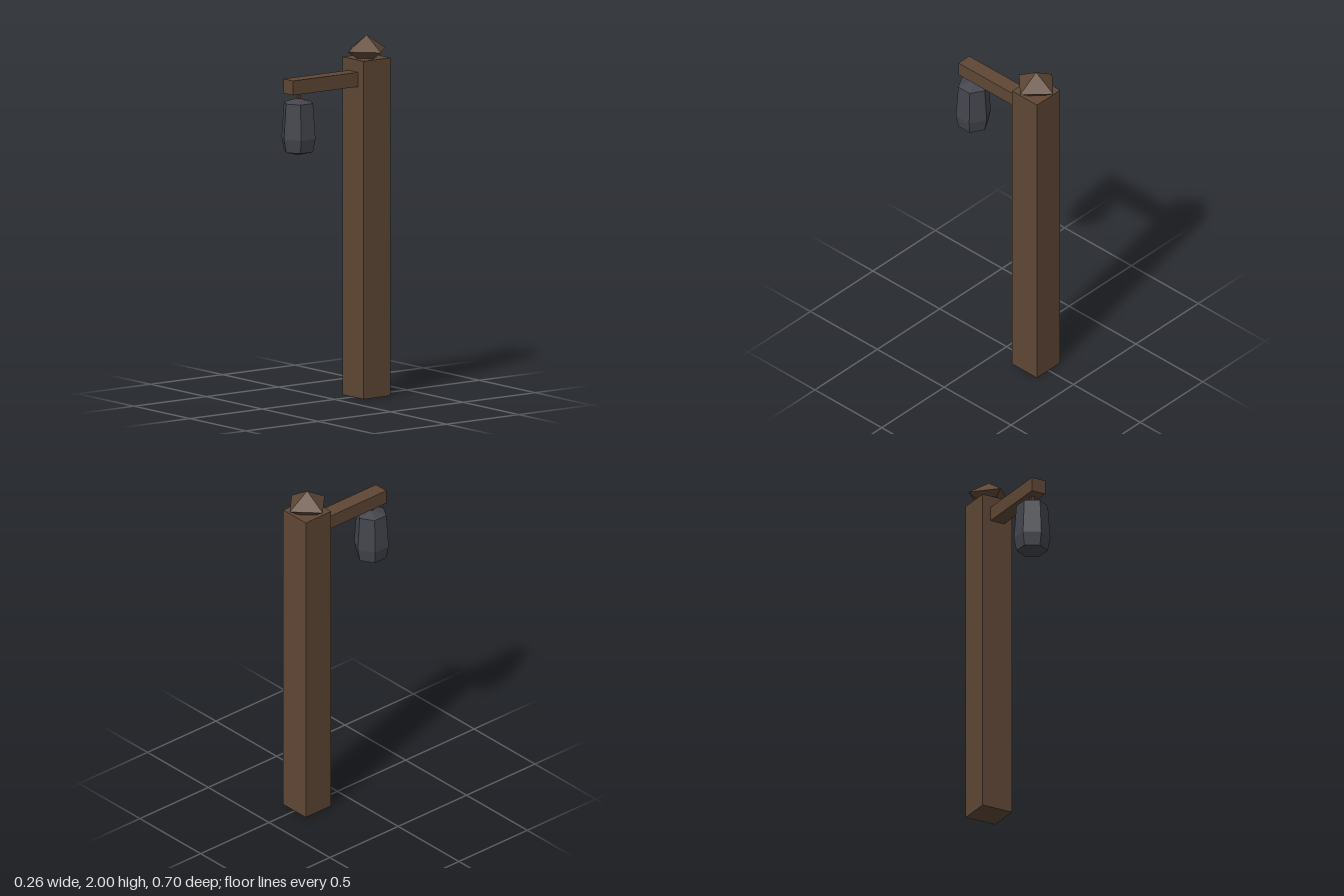
import * as THREE from 'three';

export function createModel() {
  const model = new THREE.Group();
  model.name = 'lanternPost';

  const material = (name, color) => {
    const m = new THREE.MeshStandardMaterial({ color, flatShading: true });
    m.name = name;
    return m;
  };
  const wood = material('brown wood', 0x5f4735);
  const iron = material('dark iron', 0x44454d);
  const rust = material('rusty hook', 0x5f3b30);

  const add = (name, geometry, mat, x, y, z) => {
    const mesh = new THREE.Mesh(geometry, mat);
    mesh.name = name;
    mesh.position.set(x, y, z);
    model.add(mesh);
    return mesh;
  };
  // Faceted solid turned from [radius, height] points, bottom to top
  const facet = (points, sides) =>
    new THREE.LatheGeometry(points.map(([r, y]) => new THREE.Vector2(r, y)), sides).toNonIndexed();

  const postZ = -0.221;
  const lampZ = 0.249;

  // Square post and its pointed diamond cap
  add('post', new THREE.BoxGeometry(0.186, 1.875, 0.186), wood, 0, 0.9375, postZ);
  add('cap', facet([[0, 1.865], [0.05, 1.865], [0.128, 1.917], [0, 2]], 4), wood, 0, 0, postZ);

  // Arm reaching forward from the post
  add('arm', new THREE.BoxGeometry(0.086, 0.08, 0.47), wood, 0, 1.767, 0.085);

  // Hook and six-sided lantern
  add('hook', new THREE.BoxGeometry(0.02, 0.06, 0.02), rust, 0, 1.705, lampZ);
  add('lantern', facet([[0, 1.383], [0.085, 1.404], [0.1, 1.478], [0.086, 1.674], [0, 1.7]], 6), iron, 0, 0, lampZ);

  return model;
}
